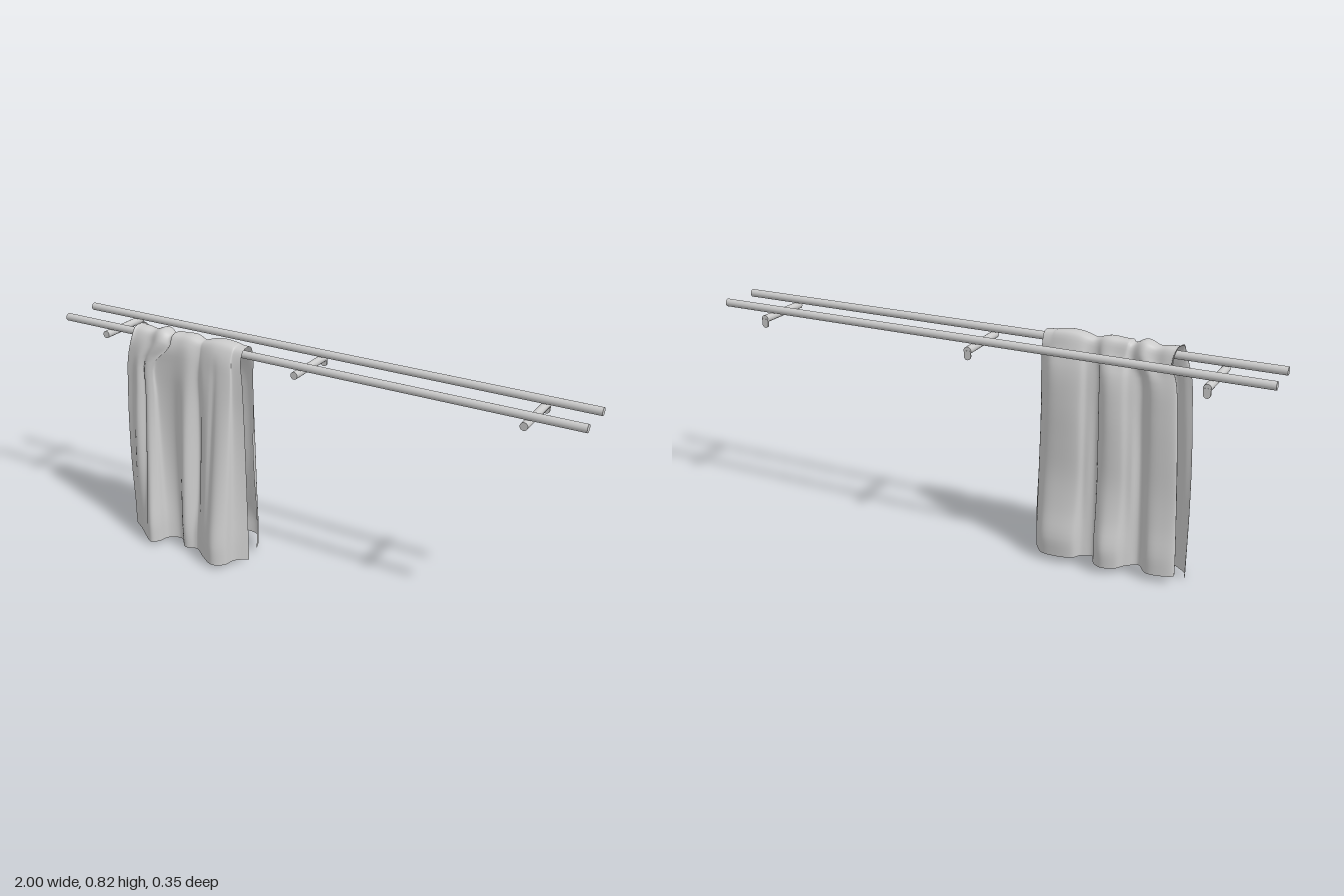
import * as THREE from 'three';

const metal = new THREE.MeshStandardMaterial({ color: 0xcccccc });
const fabric = new THREE.MeshStandardMaterial({ color: 0xcccccc, side: THREE.DoubleSide });

function add(parent, name, geometry, x, y, z, material = metal) {
  const mesh = new THREE.Mesh(geometry, material);
  mesh.name = name;
  mesh.position.set(x, y, z);
  parent.add(mesh);
  return mesh;
}

const spline = (points) => new THREE.SplineCurve(points.map(([x, z]) => new THREE.Vector2(x, z)));
const bump = (x, centre, width) => Math.exp(-(((x - centre) / width) ** 2));
const dropAt = (y) => Math.min(1, (0.8 - y) / 0.72);

// Hem lines of the towel seen from above, as [x, z]
const frontHem = spline([
  [-0.725, 0.0], [-0.715, 0.035], [-0.66, 0.075], [-0.61, 0.115], [-0.56, 0.15], [-0.535, 0.125], [-0.525, 0.08],
  [-0.48, 0.06], [-0.43, 0.11], [-0.39, 0.1], [-0.37, 0.105], [-0.32, 0.145], [-0.265, 0.175],
  [-0.225, 0.15], [-0.215, 0.1], [-0.176, 0.06],
]);
const backHem = spline([
  [-0.69, -0.01], [-0.7, -0.045], [-0.66, -0.065], [-0.61, -0.068], [-0.57, -0.025], [-0.53, -0.05], [-0.505, -0.085],
  [-0.46, -0.103], [-0.425, -0.08], [-0.41, -0.035], [-0.37, -0.045], [-0.345, -0.08], [-0.29, -0.095],
  [-0.235, -0.09], [-0.2, -0.045], [-0.176, 0.0],
]);

// Extra folds that fade out at the hem and the rail, as [x, depth, width]
const midFolds = [
  [-0.66, 0.016, 0.025], [-0.605, -0.022, 0.022], [-0.43, 0.01, 0.03], [-0.385, -0.024, 0.02], [-0.3, -0.008, 0.012],
];

// Back sheet heights with the spread of the folds outwards and inwards
const backRows = [
  [0.7, 0.5, 0.6], [0.58, 0.58, 0.87], [0.45, 0.48, 1.2], [0.32, 0.42, 1.2], [0.2, 0.66, 1.05], [0.1, 1, 1.05], [0.028, 0.9, 1.2],
];

// Gathers the hem's x towards the narrower top as the height rises
function gather(x, drop) {
  const top = -0.672 + ((x + 0.73) / 0.555) * 0.47;
  return THREE.MathUtils.lerp(top, x, Math.sqrt(drop));
}

// One strip of cloth: front hem, up over the rail, down to the back hem
function towelStrip(u) {
  const f = frontHem.getPoint(u), b = backHem.getPoint(u);
  const points = [];
  const put = (x, y, z) => points.push(new THREE.Vector3(x, y, z));

  for (const y of [0, 0.09, 0.2, 0.32, 0.45, 0.58, 0.7]) {
    const drop = dropAt(y), dev = f.y - 0.052;
    let z = 0.052 + dev * (dev > 0 ? drop : drop ** 4);
    for (const [x, depth, width] of midFolds) z += depth * bump(f.x, x, width) * Math.sin((Math.PI * y) / 0.8);
    const lean = 0.06 * (1 - drop) * bump(f.x, -0.55, 0.08);
    put(gather(f.x, drop) - lean, y || 0.002 + 0.08 * f.y, Math.max(z, f.y * drop ** 4));
  }

  // Crest, with wrinkles that widen towards the right-hand end
  const phase = u * (1 - 0.42 * u);
  const ripple = 0.005 * Math.sin(phase * 38) + 0.003 * Math.sin(phase * 62 + 1);
  const xf = gather(f.x, 0), xb = gather(b.x, 0);
  const crest = [
    [0, 0.772 + ripple, 0.047 + ripple], [0.1, 0.807 + ripple, 0.029 + ripple * 0.5], [0.2, 0.813 + ripple, 0.003],
    [0.4, 0.808 + ripple, -0.022 - ripple * 0.5], [0.7, 0.765 + ripple, -0.038 - ripple],
  ];
  for (const [t, y, z] of crest) put(THREE.MathUtils.lerp(xf, xb, t), y, z);

  // Back sheet: folds pinch in at mid height and open again at the hem
  for (const [y, outward, inward] of backRows) {
    const dev = b.y + 0.038;
    put(gather(b.x, dropAt(y)), y, -0.038 + dev * (dev < 0 ? outward : inward));
  }
  return new THREE.CatmullRomCurve3(points, false, 'centripetal');
}

function towelGeometry(columns = 100, rows = 72) {
  const geometry = new THREE.PlaneGeometry(1, 1, columns, rows);
  const position = geometry.attributes.position;
  for (let i = 0; i <= columns; i++) {
    const strip = towelStrip(i / columns);
    for (let j = 0; j <= rows; j++) {
      const p = strip.getPoint(1 - j / rows);
      position.setXYZ(j * (columns + 1) + i, p.x, p.y, p.z);
    }
  }
  geometry.computeVertexNormals();
  return geometry;
}

export function createModel() {
  const group = new THREE.Group();
  group.name = 'towelRack';

  // Two long parallel rails
  for (const [name, z] of [['frontRail', 0.006], ['backRail', -0.141]]) {
    add(group, name, new THREE.CylinderGeometry(0.014, 0.014, 2, 24), 0, 0.785, z).rotation.z = Math.PI / 2;
  }

  // Brackets carrying the rails, each with a small wall tab at the back
  for (const x of [-0.803, 0, 0.81]) {
    const bracket = new THREE.Group();
    bracket.name = 'bracket';
    bracket.position.x = x;
    add(bracket, 'bracketArm', new THREE.CylinderGeometry(0.0135, 0.0135, 0.208, 20), 0, 0.757, -0.074).rotation.x = Math.PI / 2;
    const tab = new THREE.Shape();
    tab.moveTo(-0.012, 0.757);
    tab.lineTo(-0.012, 0.737);
    tab.absarc(0, 0.737, 0.012, Math.PI, 2 * Math.PI, false);
    tab.lineTo(0.012, 0.757);
    add(bracket, 'wallTab', new THREE.ExtrudeGeometry(tab, { depth: 0.006, bevelEnabled: false, curveSegments: 10 }), 0, 0, -0.179);
    group.add(bracket);
  }

  // Towel draped over the front rail
  add(group, 'towel', towelGeometry(), 0, 0, 0, fabric);
  return group;
}
